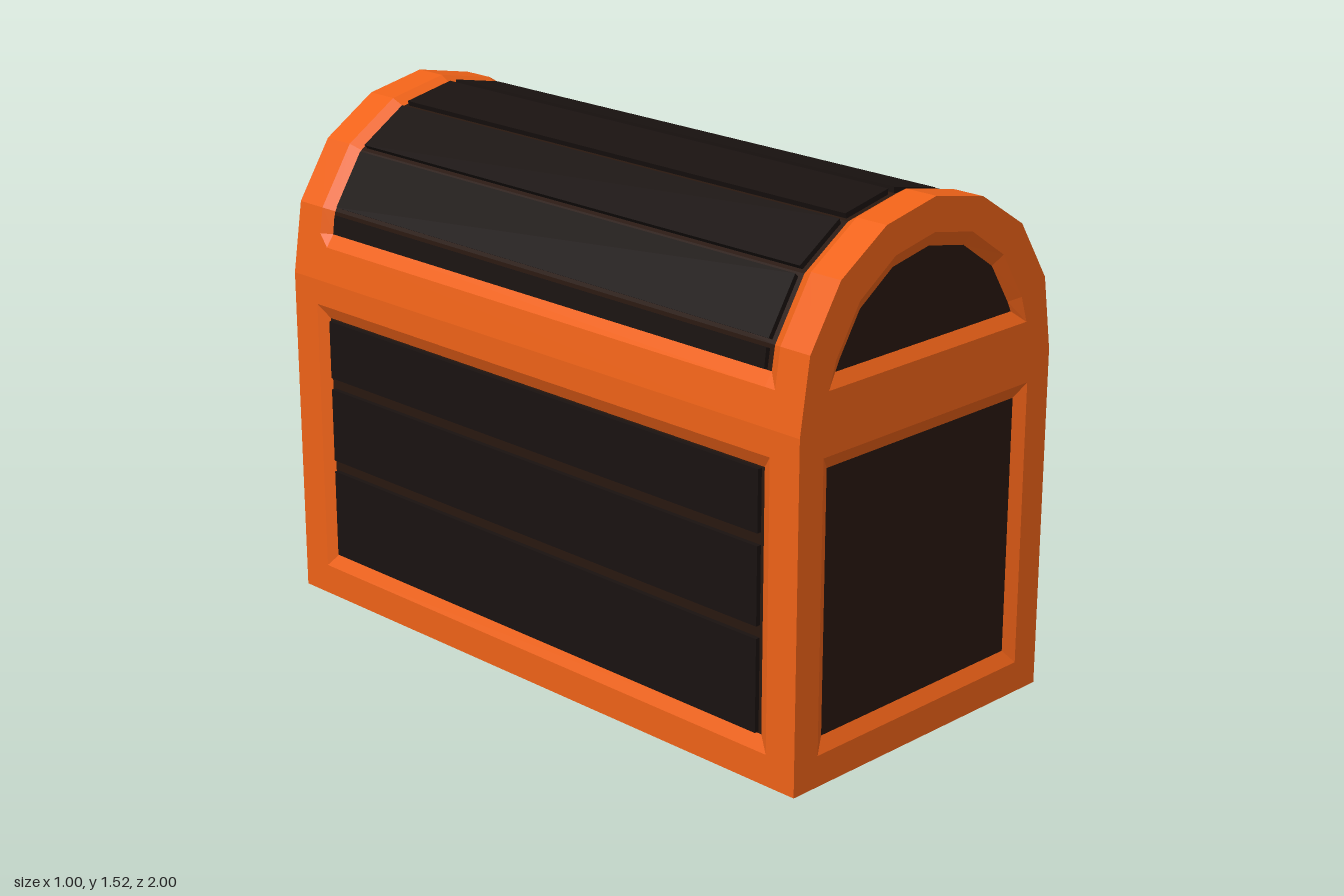
import * as THREE from 'three';

const mat = (color) => new THREE.MeshStandardMaterial({ color, flatShading: true });
const orange = mat(0xee6218), brown = mat(0x28170f), black = mat(0x191210);
const DEPTH = 0.02; // how far panels sit behind their frames

function add(parent, name, geometry, material) {
  const mesh = new THREE.Mesh(geometry, material);
  mesh.name = name;
  parent.add(mesh);
  return mesh;
}

// Geometry from quads, each four corners in counter-clockwise order
function quadGeometry(quads) {
  const pos = quads.flatMap(([a, b, c, d]) => [a, b, c, a, c, d].flat());
  const geo = new THREE.BufferGeometry();
  geo.setAttribute('position', new THREE.Float32BufferAttribute(pos, 3));
  geo.computeVertexNormals();
  return geo;
}

// Flat frame with a bevel leading to a panel set at depth, in the XY plane facing +z
function framedPanel(name, outer, face, inner, depth, panelMaterial) {
  const group = new THREE.Group();
  group.name = name;
  const loops = [outer.map((p) => [...p, 0]), face.map((p) => [...p, 0]), inner.map((p) => [...p, -depth])];
  const quads = [];
  for (let k = 0; k < 2; k++) {
    const a = loops[k], b = loops[k + 1], n = a.length;
    for (let i = 0; i < n; i++) quads.push([a[i], a[(i + 1) % n], b[(i + 1) % n], b[i]]);
  }
  add(group, name + 'Frame', quadGeometry(quads), orange);
  const shape = new THREE.Shape(inner.map((p) => new THREE.Vector2(...p)));
  add(group, name + 'Panel', new THREE.ShapeGeometry(shape), panelMaterial).position.z = -depth;
  return group;
}

const rect = (w, y0, y1) => [[-w, y0], [w, y0], [w, y1], [-w, y1]];
// Complete a half arch (right foot to crown) with its mirror image
const arch = (half) => [...half, ...half.slice(0, -1).reverse().map(([x, y]) => [-x, y])];
// Scale an arch point about the arch centre
const inset = ([x, y], s) => [x * s, 1 + (y - 1) * s];

const archOuter = arch([[0.5, 1], [0.467, 1.21], [0.358, 1.38], [0.19, 1.487], [0, 1.525]]);
const archFace = arch([[0.395, 1.1], [0.37, 1.175], [0.285, 1.31], [0.152, 1.4], [0, 1.43]]);
const archInner = arch([[0.35, 1.135], [0.335, 1.165], [0.262, 1.28], [0.14, 1.363], [0, 1.39]]);

function buildBody() {
  const body = new THREE.Group();
  body.name = 'body';
  for (const s of [1, -1]) {
    // End walls
    const end = framedPanel(s > 0 ? 'frontWall' : 'backWall',
      rect(0.5, 0.01, 1), rect(0.41, 0.1, 0.925), rect(0.375, 0.14, 0.885), DEPTH, brown);
    end.position.z = s;
    end.rotation.y = s > 0 ? 0 : Math.PI;
    // Long walls with three planks
    const side = framedPanel(s > 0 ? 'leftWall' : 'rightWall',
      rect(1, 0.01, 1), rect(0.9, 0.1, 0.925), rect(0.865, 0.14, 0.885), DEPTH, brown);
    side.position.x = s * 0.5;
    side.rotation.y = s * Math.PI / 2;
    for (const [y0, y1] of [[0.145, 0.412], [0.447, 0.67], [0.705, 0.88]]) {
      const plank = add(side, 'wallPlank', new THREE.BoxGeometry(1.71, y1 - y0, 0.02), black);
      plank.position.set(0, (y0 + y1) / 2, -0.016);
    }
    body.add(end, side);
  }
  // Underside, bulging slightly
  const base = framedPanel('base', rect(0.5, -1, 1), rect(0.495, -0.99, 0.99), rect(0.4, -0.88, 0.88), -0.01, orange);
  base.rotation.x = Math.PI / 2;
  base.position.y = 0.01;
  body.add(base);
  return body;
}

function buildLid() {
  const lid = new THREE.Group();
  lid.name = 'lid';
  // Arched ends
  for (const s of [1, -1]) {
    const end = framedPanel(s > 0 ? 'lidFront' : 'lidBack', archOuter, archFace, archInner, DEPTH, brown);
    end.position.z = s;
    end.rotation.y = s > 0 ? 0 : Math.PI;
    lid.add(end);
  }
  // Shell: a grid over the arch, sunk between the end hoops and lower rails
  const low = [[0.4843, 1.1], [0.4788, 1.135]];
  const mirrored = low.map(([x, y]) => [-x, y]).reverse();
  const profile = [archOuter[0], ...low, ...archOuter.slice(1, -1), ...mirrored, archOuter.at(-1)];
  const zs = [-1, -0.9, -0.865, 0.865, 0.9, 1];
  const sunk = (i, j) => profile[i][1] > 1.13 && Math.abs(zs[j]) < 0.88;
  const vertex = (i, j) => {
    const [x, y] = profile[i];
    const sink = sunk(i, j);
    // The foot of the sunk area moves straight inward, the rest toward the centre
    if (sink && y < 1.14) return [x - Math.sign(x) * DEPTH, y, zs[j]];
    return [...inset(profile[i], sink ? 0.96 : 1), zs[j]];
  };
  const frame = [], under = [];
  for (let i = 0; i < profile.length - 1; i++) {
    for (let j = 0; j < zs.length - 1; j++) {
      const corners = [[i, j], [i + 1, j], [i + 1, j + 1], [i, j + 1]];
      const list = corners.every((c) => sunk(...c)) ? under : frame;
      list.push(corners.map((c) => vertex(...c)));
    }
  }
  add(lid, 'lidFrame', quadGeometry(frame), orange);
  add(lid, 'lidLining', quadGeometry(under), brown);

  // Planks, one per facet, with narrow gaps between
  const facets = archOuter.map((p) => [...p]);
  facets[0] = [0.4775, 1.13];
  facets[8] = [-0.4775, 1.13];
  for (let i = 0; i < 8; i++) {
    const a = new THREE.Vector2(...facets[i]), b = new THREE.Vector2(...facets[i + 1]);
    const gap = 0.012 / a.distanceTo(b);
    const p = a.clone().lerp(b, gap).toArray(), q = b.clone().lerp(a, gap).toArray();
    const section = [inset(p, 0.99), inset(q, 0.99), inset(q, 0.95), inset(p, 0.95)];
    const shape = new THREE.Shape(section.map((v) => new THREE.Vector2(...v)));
    const geo = new THREE.ExtrudeGeometry(shape, { depth: 1.7, bevelEnabled: false });
    add(lid, 'lidPlank', geo.translate(0, 0, -0.85), black);
  }
  return lid;
}

export function createModel() {
  const chest = new THREE.Group();
  chest.name = 'chest';
  chest.add(buildBody(), buildLid());
  return chest;
}
